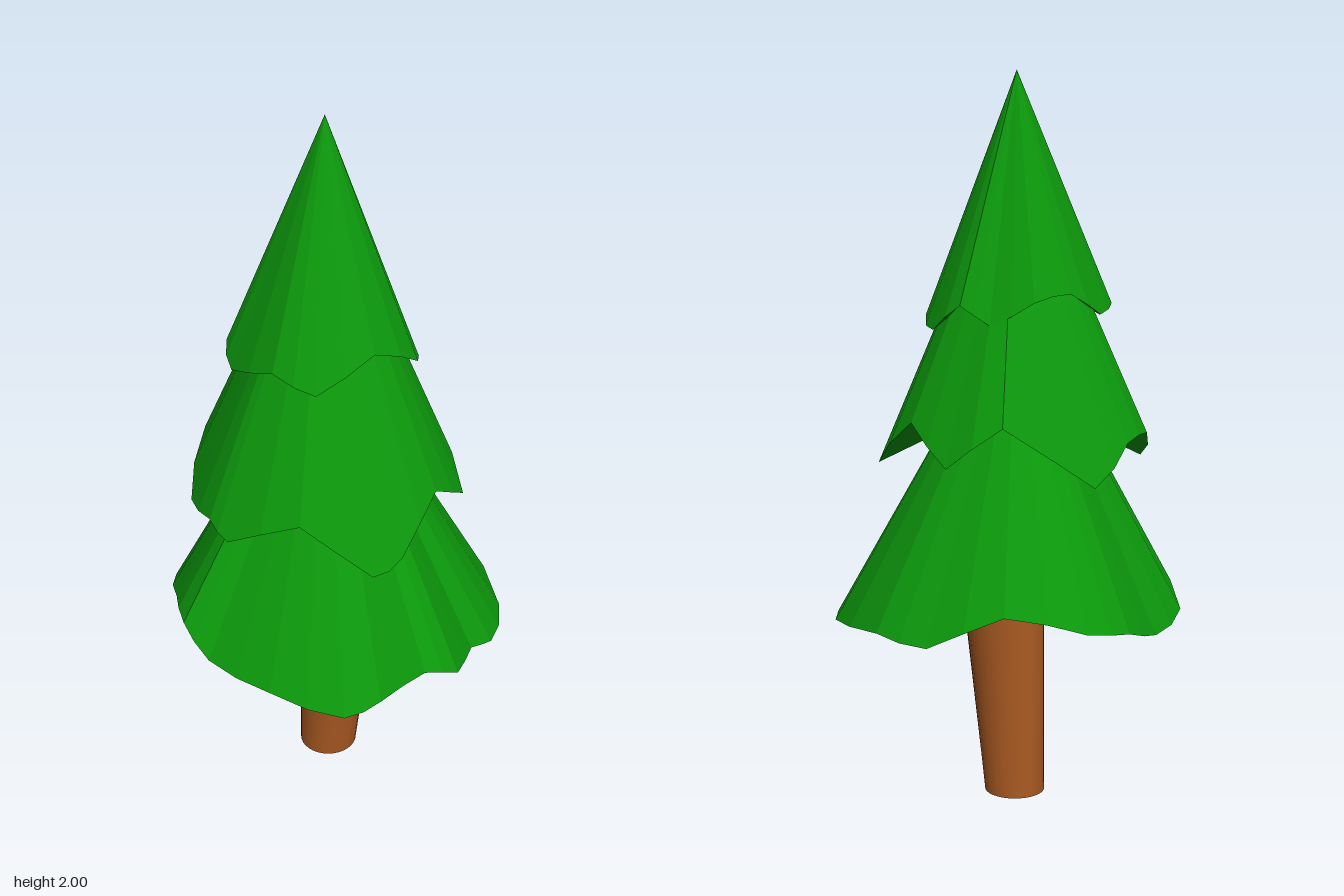
import * as THREE from 'three';

const leaf = new THREE.MeshStandardMaterial({ color: 0x0c980c, flatShading: true, side: THREE.DoubleSide });
const bark = new THREE.MeshStandardMaterial({ color: 0xaa5a22 });

// Each tier: tip height, height of the hollow underside, and the crests and dips of its wavy hem.
const tiers = [
  {
    name: 'topFoliage', tip: 2, hollow: 1.5,
    hem: [
      [-.08, 1.36, -.262], [.04, 1.42, -.25], [.13, 1.4, -.2], [.19, 1.34, -.1],
      [.22, 1.39, -.025], [.205, 1.32, .08], [.11, 1.35, .185], [-.065, 1.44, .195],
      [-.22, 1.36, .14], [-.265, 1.4, .03], [-.252, 1.34, -.14], [-.2, 1.38, -.215],
    ],
  },
  {
    name: 'middleFoliage', tip: 1.84, hollow: 1.13,
    hem: [
      [.1, .93, -.375], [.27, 1.09, -.205], [.335, .98, -.07], [.285, 1.08, .09],
      [.2, .94, .285], [.04, 1.04, .325], [-.13, .93, .365], [-.215, .9, .34],
      [-.33, 1.04, .19], [-.42, .95, .01], [-.41, .98, -.07], [-.345, .94, -.22],
      [-.17, 1.04, -.355], [-.04, 1.03, -.38],
    ],
  },
  {
    name: 'bottomFoliage', tip: 1.4, hollow: 0.75,
    hem: [
      [.12, .57, -.5], [.25, .59, -.46], [.385, .635, -.3], [.475, .545, -.12],
      [.475, .555, .05], [.33, .51, .335], [.18, .515, .43], [.1, .535, .425],
      [-.045, .575, .5], [-.14, .61, .465], [-.235, .525, .395], [-.34, .51, .36],
      [-.44, .55, .18], [-.48, .57, -.02], [-.487, .655, -.11], [-.41, .64, -.23],
      [-.26, .54, -.415], [-.06, .52, -.465],
    ],
  },
];

// A faceted skirt ruled from the tip to the hem, closed below by a shallow hollow.
function foliage({ name, tip, hollow, hem }) {
  const curve = new THREE.CatmullRomCurve3(hem.map((p) => new THREE.Vector3(...p)), true);
  const n = hem.length * 2;
  const points = hem.flatMap((_, i) => [curve.getPoint(2 * i / n), curve.getPoint((2 * i + 1) / n)]);
  points.push(new THREE.Vector3(-0.015, tip, -0.03), new THREE.Vector3(-0.015, hollow, -0.03));
  const index = [];
  for (let i = 0; i < n; i++) {
    const j = (i + 1) % n;
    index.push(n, j, i, n + 1, i, j);
  }
  const indexed = new THREE.BufferGeometry().setFromPoints(points).setIndex(index);
  const geo = indexed.toNonIndexed();
  geo.computeVertexNormals();
  const mesh = new THREE.Mesh(geo, leaf);
  mesh.name = name;
  return mesh;
}

// Trunk: widens upward and leans forward.
function trunk() {
  const height = 0.7;
  const geo = new THREE.CylinderGeometry(1, 1, height, 32);
  geo.translate(0, height / 2, 0);
  const p = geo.attributes.position;
  for (let i = 0; i < p.count; i++) {
    const t = p.getY(i) / height;
    p.setX(i, -0.017 + p.getX(i) * (0.084 + 0.016 * t));
    p.setZ(i, -0.024 + 0.052 * t + p.getZ(i) * (0.084 + 0.05 * t));
  }
  geo.computeVertexNormals();
  const mesh = new THREE.Mesh(geo, bark);
  mesh.name = 'trunk';
  return mesh;
}

export function createModel() {
  const tree = new THREE.Group();
  tree.name = 'tree';
  tree.add(trunk(), ...tiers.map(foliage));
  return tree;
}
